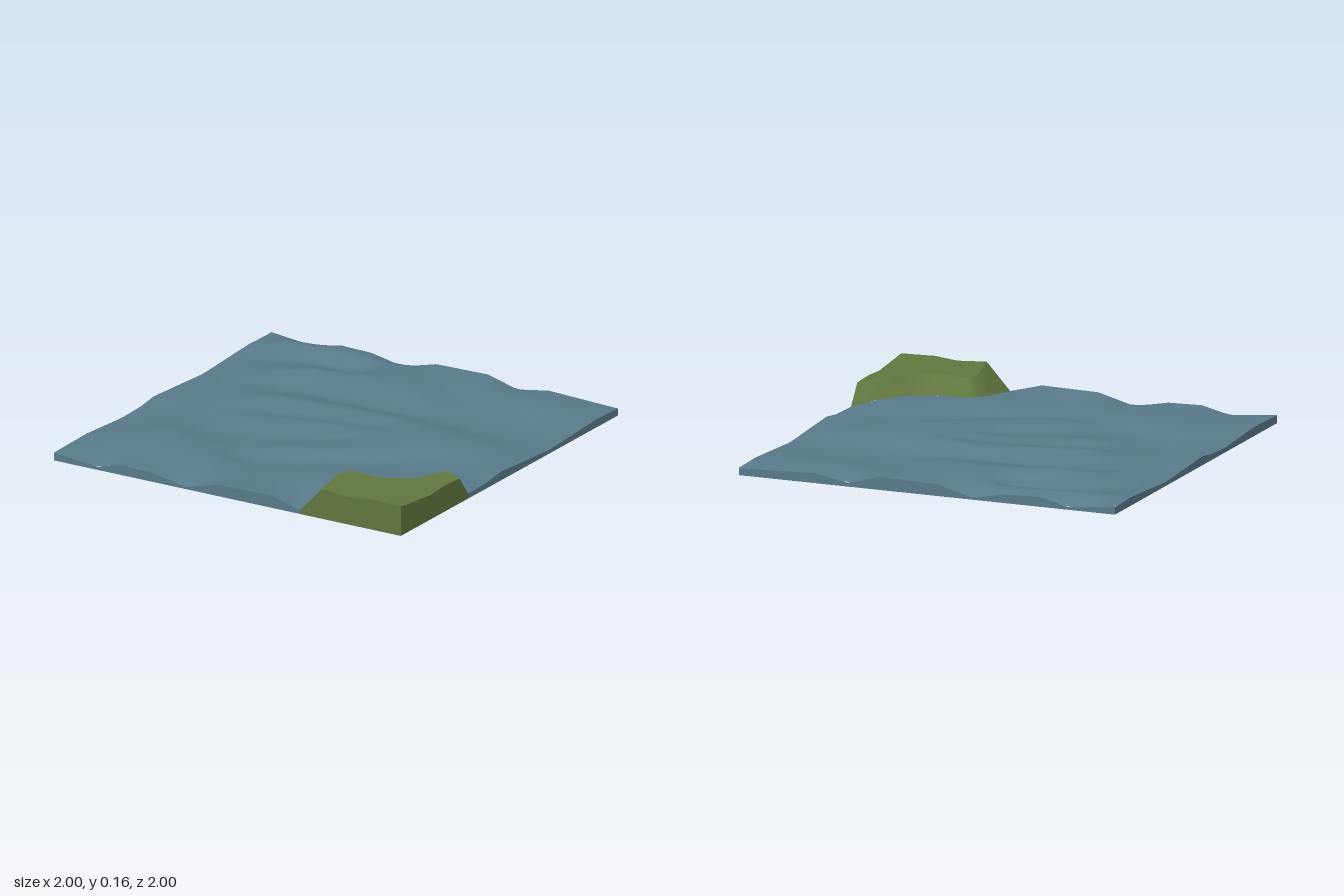
import * as THREE from 'three';

// Edge height profiles [position, height]; opposite edges match so the tile repeats
const edgeX = [[-1, .04], [-.75, .015], [-.6, .05], [-.42, .045], [-.24, .01], [-.05, .06], [.25, .065], [.42, .02], [.6, .05], [1, .035]];
const edgeZ = [[-1, .037], [-.8, .042], [-.37, .02], [.08, .045], [.2, .03], [.38, .025], [.7, .045], [1, .04]];

// Bank outline at the waterline and at its top rim, [x, y, z]
const foot = [[.42, .02, 1], [.41, .065, .7], [.47, .07, .61], [.65, .06, .625], [.79, .06, .56], [.875, .07, .385], [1, .025, .38]];
const rim = [[.545, .155, 1], [.49, .15, .77], [.52, .15, .695], [.7, .15, .7], [.835, .15, .63], [.93, .153, .45], [1, .13, .46]];

// Wave crests and troughs, each an arc: start x, z, height, end x, z, height, bow in z
const waves = [
  [-.52, -.57, .088, .12, -.56, .07, -.06],
  [-.8, -.33, .04, -.58, -.53, .08, -.02],
  [-.9, -.64, .03, -.35, -.77, .015, -.06],
  [-.85, -.88, .07, .2, -.82, .06, -.04],
  [.25, -.72, .035, .85, -.57, .03, .04],
  [.45, -.85, .06, .8, -.8, .06, 0],
  [-.65, -.37, .033, .85, -.36, .027, 0],
  [-.5, -.13, .085, .75, -.17, .065, -.08],
  [-.5, .02, .045, .2, -.1, .05, -.03],
  [-.45, .12, .065, .35, -.04, .07, -.05],
  [-.55, .35, .033, .1, .1, .038, .03],
  [-.1, .43, .068, .62, .03, .073, .03],
  [-.2, .56, .03, .62, .08, .04, .06],
  [-.95, .1, .04, -.75, .2, .03, .22],
  [-.7, .46, .065, -.25, .7, .06, -.03],
  [.05, .8, .05, .35, .55, .068, -.05],
];

const { lerp } = THREE.MathUtils;
const atEdge = (profile, t) => {
  const i = Math.max(1, profile.findIndex(p => p[0] >= t - 1e-6));
  const [a, b] = [profile[i - 1], profile[i]];
  return lerp(a[1], b[1], (t - a[0]) / (b[0] - a[0]));
};

// Height samples along the waves, the bank foot and the four edges
const samples = [];
for (const [x0, z0, h0, x1, z1, h1, bow] of waves) {
  const steps = Math.ceil(Math.hypot(x1 - x0, z1 - z0) / .08);
  for (let k = 0; k <= steps; k++) {
    const t = k / steps;
    samples.push([lerp(x0, x1, t), lerp(h0, h1, t), lerp(z0, z1, t) + bow * 4 * t * (1 - t)]);
  }
}
for (let i = 0; i < foot.length - 1; i++) {
  for (let k = 0; k < 3; k++) samples.push(foot[i].map((v, c) => lerp(v, foot[i + 1][c], k / 3)));
}
for (let k = -10; k <= 10; k++) {
  const t = k / 10;
  for (const s of [-1, 1]) samples.push([t, atEdge(edgeX, t), s], [s, atEdge(edgeZ, t), t]);
}

// Solve for distance weights so that slopes run straight between the sampled lines
const mean = .05;
function solveWeights() {
  const rows = samples.map((a, i) => [
    ...samples.map((b, j) => i === j ? -.015 : Math.hypot(a[0] - b[0], a[2] - b[2])), a[1] - mean]);
  const n = rows.length;
  for (let c = 0; c < n; c++) {
    let p = c;
    for (let r = c + 1; r < n; r++) if (Math.abs(rows[r][c]) > Math.abs(rows[p][c])) p = r;
    [rows[c], rows[p]] = [rows[p], rows[c]];
    for (let r = c + 1; r < n; r++) {
      const f = rows[r][c] / rows[c][c];
      for (let k = c; k <= n; k++) rows[r][k] -= f * rows[c][k];
    }
  }
  const w = new Array(n).fill(0);
  for (let r = n - 1; r >= 0; r--) {
    let v = rows[r][n];
    for (let k = r + 1; k < n; k++) v -= rows[r][k] * w[k];
    w[r] = v / rows[r][r];
  }
  return w;
}
const weights = solveWeights();

function waterHeight(x, z) {
  if (Math.abs(z) > .9999) return atEdge(edgeX, x);
  if (Math.abs(x) > .9999) return atEdge(edgeZ, z);
  const h = samples.reduce((sum, s, i) => sum + weights[i] * Math.hypot(x - s[0], z - s[2]), mean);
  return THREE.MathUtils.clamp(h, .002, .09);
}

// Is a point within the bank outline?
function inBank(x, z) {
  const poly = [...foot, [1, 0, 1]];
  let inside = false;
  poly.forEach((a, i) => {
    const b = poly[(i + 1) % poly.length];
    if ((a[2] > z) !== (b[2] > z) && x < a[0] + (b[0] - a[0]) * (z - a[2]) / (b[2] - a[2])) inside = !inside;
  });
  return inside;
}

// Nearest point on the bank's waterline
function snapToFoot(point) {
  const p = new THREE.Vector3(...point);
  const near = foot.slice(1).map((b, i) => new THREE.Line3(new THREE.Vector3(...foot[i]), new THREE.Vector3(...b))
    .closestPointToPoint(p, true, new THREE.Vector3()));
  return near.sort((a, b) => a.distanceTo(p) - b.distanceTo(p))[0].toArray();
}

function geometryOf(points, index = null) {
  const g = new THREE.BufferGeometry();
  g.setAttribute('position', new THREE.Float32BufferAttribute(points.flat(), 3));
  g.setIndex(index);
  g.computeVertexNormals();
  return g;
}

// Strip of quads between two lines of points, shaded smoothly along its length
function strip(lower, upper) {
  const n = lower.length, index = [];
  for (let i = 0; i < n - 1; i++) index.push(i, i + 1, n + i + 1, i, n + i + 1, n + i);
  return geometryOf([...lower, ...upper], index);
}
const wall = top => strip(top.map(([x, , z]) => [x, 0, z]), top);

export function createModel() {
  const model = new THREE.Group();
  const water = new THREE.MeshStandardMaterial({ color: 0x587a8a, side: THREE.DoubleSide });
  const grass = new THREE.MeshStandardMaterial({ color: 0x61763f, side: THREE.DoubleSide });
  const add = (name, geometry, material) => {
    const mesh = new THREE.Mesh(geometry, material);
    mesh.name = name;
    model.add(mesh);
  };

  // Rippled water sheet, ending at the bank's waterline
  const N = 50, points = [], covered = [], index = [];
  for (let j = 0; j <= N; j++) {
    for (let i = 0; i <= N; i++) {
      const x = -1 + 2 * i / N, z = -1 + 2 * j / N;
      const point = [x, waterHeight(x, z), z];
      const hidden = inBank(Math.min(x, .9999), Math.min(z, .9999));
      covered.push(hidden);
      points.push(hidden ? snapToFoot(point) : point);
    }
  }
  for (let j = 0; j < N; j++) {
    for (let i = 0; i < N; i++) {
      const a = j * (N + 1) + i, b = a + 1, c = a + N + 1, d = c + 1;
      if (![a, b, c, d].every(n => covered[n])) index.push(a, c, b, b, c, d);
    }
  }
  add('waterSurface', geometryOf(points, index), water);

  // Water side walls
  add('waterFrontWall', wall(edgeX.filter(p => p[0] <= .42).map(([x, h]) => [x, h, 1])), water);
  add('waterBackWall', wall(edgeX.map(([x, h]) => [x, h, -1]).reverse()), water);
  add('waterLeftWall', wall(edgeZ.filter(p => p[0] <= .38).map(([z, h]) => [1, h, z]).reverse()), water);
  add('waterRightWall', wall(edgeZ.map(([z, h]) => [-1, h, z])), water);

  // Grassy corner bank: slope, top and outer walls
  const last = foot.length - 1;
  const frontTop = [rim[0], [.7, .145, 1], [.82, .157, 1], [1, .152, 1]];
  const sideTop = [frontTop[3], [1, .127, .73], [1, .135, .6], rim[last]];
  add('bankSlope', strip([...foot].reverse(), [...rim].reverse()), grass);
  const ring = [...frontTop, ...sideTop.slice(1), ...rim.slice(1, last).reverse()];
  const fan = ring.flatMap((p, i) => [0, i + 1, (i + 1) % ring.length + 1]);
  add('bankTop', geometryOf([[.76, .15, .8], ...ring], fan), grass);
  add('bankFrontWall', wall([foot[0], ...frontTop]), grass);
  add('bankSideWall', wall([...sideTop, foot[last]]), grass);
  return model;
}
